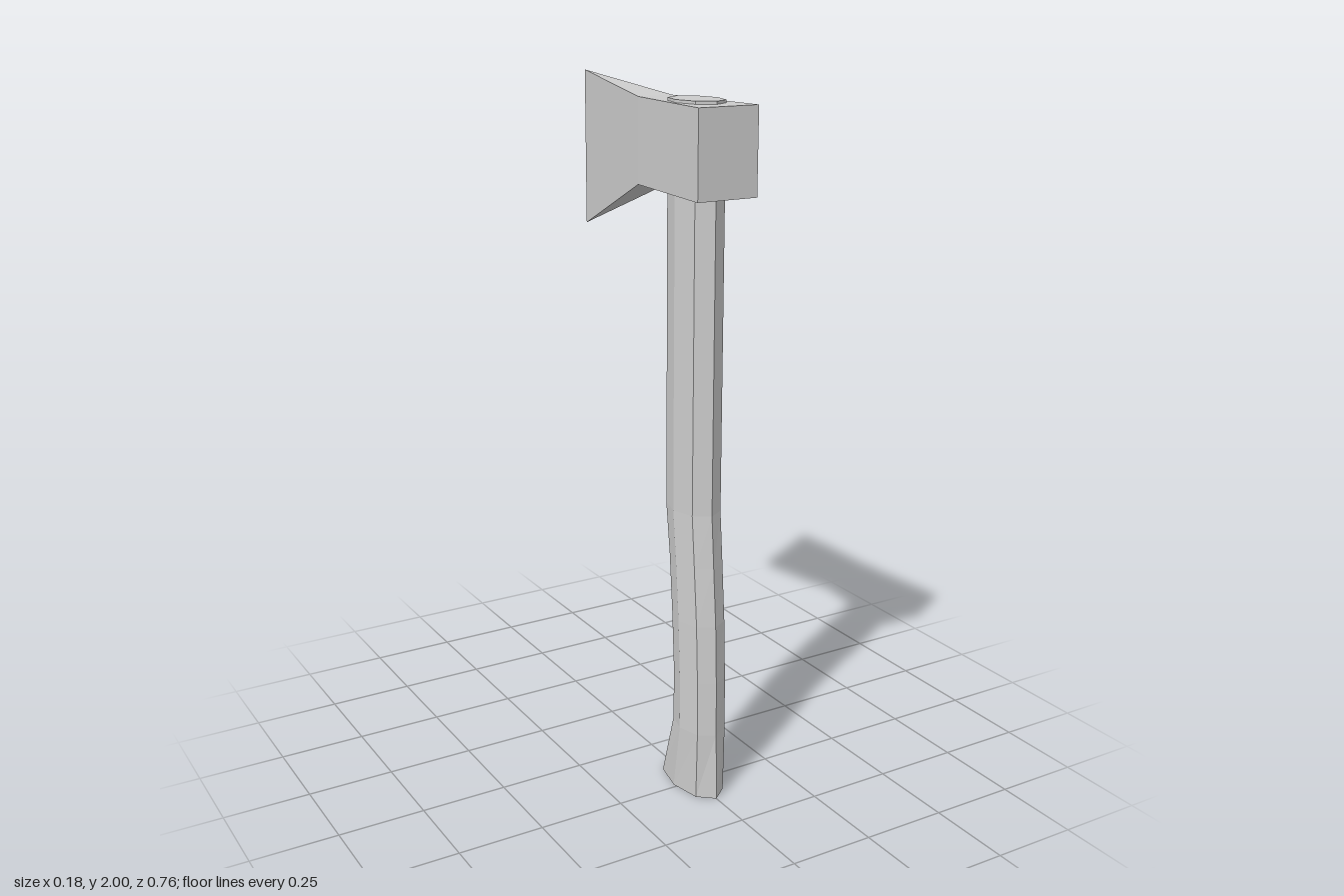
import * as THREE from 'three';

// Skins a list of rings (ordered along their axis, each counter-clockwise
// when seen from the far end) and closes both ends.
function loft(rings) {
  const pos = [];
  const tri = (a, b, c) => {
    const area = b.clone().sub(a).cross(c.clone().sub(a)).length();
    if (area > 1e-7) for (const p of [a, b, c]) pos.push(p.x, p.y, p.z);
  };
  const n = rings[0].length;
  for (let i = 0; i < rings.length - 1; i++) {
    const lo = rings[i], hi = rings[i + 1];
    for (let j = 0; j < n; j++) {
      const k = (j + 1) % n;
      tri(lo[j], lo[k], hi[k]);
      tri(lo[j], hi[k], hi[j]);
    }
  }
  const first = rings[0], last = rings[rings.length - 1];
  for (let j = 1; j < n - 1; j++) {
    tri(first[0], first[j + 1], first[j]);
    tri(last[0], last[j], last[j + 1]);
  }
  const geometry = new THREE.BufferGeometry();
  geometry.setAttribute('position', new THREE.Float32BufferAttribute(pos, 3));
  geometry.computeVertexNormals();
  return geometry;
}

// Octagonal handle section spanning zBack..zFront at height y
function handleRing([y, zBack, zFront]) {
  const mid = (zFront + zBack) / 2, rz = (zFront - zBack) / 2;
  return Array.from({ length: 8 }, (_, i) => {
    const a = (i / 8) * Math.PI * 2;
    return new THREE.Vector3(0.065 * Math.sin(a), y, mid + rz * Math.cos(a));
  });
}

// Rectangular head section at depth z
function headRing([z, w, y0, y1]) {
  return [[-w, y0], [w, y0], [w, y1], [-w, y1]].map(([x, y]) => new THREE.Vector3(x, y, z));
}

export function createModel() {
  const group = new THREE.Group();
  group.name = 'axe';
  const material = new THREE.MeshStandardMaterial({ color: 0xcccccc, flatShading: true });
  const add = (name, geometry) => {
    const mesh = new THREE.Mesh(geometry, material);
    mesh.name = name;
    group.add(mesh);
  };

  // Curved handle, flared at the foot, its top just proud of the head: y, zBack, zFront
  add('handle', loft([
    [0, 0.107, 0.367],
    [0.2, 0.177, 0.361],
    [0.36, 0.178, 0.358],
    [0.53, 0.167, 0.351],
    [0.7, 0.152, 0.337],
    [0.85, 0.131, 0.325],
    [1.963, 0.131, 0.325],
  ].map(handleRing)));

  // Wedge head from the sharp cutting edge to the flat poll: z, half width, bottom, top
  add('axeHead', loft([
    [-0.38, 0, 1.557, 2],
    [0.018, 0.053, 1.721, 1.955],
    [0.38, 0.09, 1.721, 1.955],
  ].map(headRing)));

  return group;
}
